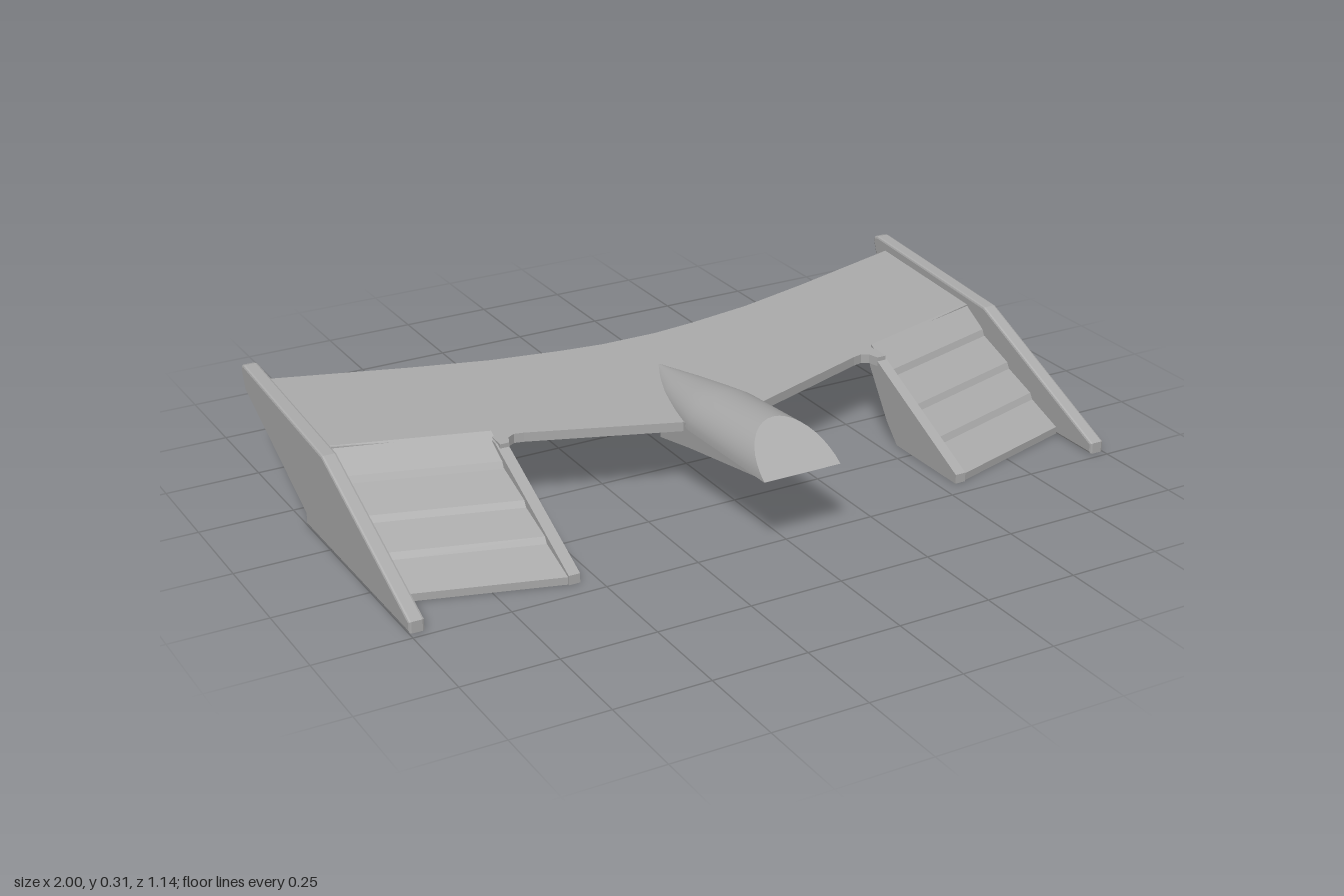
import * as THREE from 'three';

const gray = new THREE.MeshStandardMaterial({ color: 0xaaaaaa });
gray.name = 'gray';

const deckTop = (z) => 0.221 - 0.065 * z;
const SWEEP = 0.3;

// Extrudes a (z, y) profile along x between xa and xb, optionally swept forward toward the middle
function prism(pts, xa, xb, { sweep = 0, bevel = 0 } = {}) {
  const lo = Math.min(xa, xb), hi = Math.max(xa, xb);
  const shape = new THREE.Shape(pts.map(([z, y]) => new THREE.Vector2(z, y)));
  const g = new THREE.ExtrudeGeometry(shape, {
    depth: hi - lo - 2 * bevel, bevelEnabled: bevel > 0, bevelSegments: 2,
    bevelSize: bevel, bevelThickness: bevel, bevelOffset: -bevel,
  });
  g.rotateY(-Math.PI / 2).translate(hi - bevel, 0, 0);
  const p = g.attributes.position;
  for (let i = 0; i < p.count; i++) p.setZ(i, p.getZ(i) + (0.96 - Math.abs(p.getX(i))) * sweep);
  g.computeVertexNormals();
  return g;
}

function surface(positions, index) {
  const g = new THREE.BufferGeometry();
  g.setAttribute('position', new THREE.Float32BufferAttribute(positions, 3));
  g.setIndex(index);
  g.computeVertexNormals();
  return g;
}

export function createModel() {
  const model = new THREE.Group();
  model.name = 'rearWing';
  const add = (name, geometry, parent = model) => {
    const m = new THREE.Mesh(geometry, gray);
    m.name = name;
    parent.add(m);
    return m;
  };

  // Main deck: curved trailing edge, swept leading edge, gentle slope
  const half = [
    [0.09, 0.175], [0.49, 0.045], [0.515, 0.04], [0.535, 0.05], [0.545, 0.075], [0.57, 0.075], [0.57, 0.017],
    [0.97, -0.1], [0.97, -0.513], [0.6, -0.41], [0.39, -0.358], [0.2, -0.328], [0.08, -0.315],
  ];
  const outline = [...half, ...half.map(([x, z]) => [-x, z]).reverse()];
  const deck = new THREE.ExtrudeGeometry(
    new THREE.Shape(outline.map(([x, z]) => new THREE.Vector2(x, -z))),
    { depth: 0.025, bevelEnabled: false });
  deck.rotateX(-Math.PI / 2);
  const dp = deck.attributes.position;
  for (let i = 0; i < dp.count; i++) dp.setY(i, dp.getY(i) - 0.025 + deckTop(dp.getZ(i)));
  deck.computeVertexNormals();
  add('deck', deck);

  // Cross rib under the deck
  add('crossRib', prism([[-0.155, 0.15], [-0.13, 0.15], [-0.13, 0.22], [-0.155, 0.22]], -0.965, 0.965));

  const plate = [[0.48, 0], [0.48, 0.03], [-0.02, 0.245], [-0.555, 0.284], [-0.57, 0.28],
    [-0.574, 0.265], [-0.555, 0.215], [-0.16, 0.03], [-0.16, 0]];
  const fin = [[0.45, 0], [0.45, 0.025], [0.06, 0.212], [0.04, 0.215], [0.04, 0.18], [0.13, 0.05], [0.18, 0]];
  const steps = [[-0.02, 0.18], [0.1, 0.125], [0.21, 0.075], [0.33, 0.02]];

  for (const s of [1, -1]) {
    const side = new THREE.Group();
    side.name = s > 0 ? 'leftSide' : 'rightSide';
    model.add(side);
    add('endPlate', prism(plate, s * 0.96, s, { bevel: 0.006 }), side);
    add('innerFin', prism(fin, s * 0.545, s * 0.575), side);

    // Steep first panel, then stepped louvres with hanging lips
    add('shoulderPanel', prism(
      [[-0.105, 0.228], [-0.02, 0.18], [-0.01, 0.16], [-0.025, 0.16], [-0.105, 0.205]],
      s * 0.565, s * 0.965, { sweep: SWEEP }), side);
    for (let i = 0; i < 3; i++) {
      const [z0, y0] = steps[i], [z1, y1] = steps[i + 1];
      add('louvre', prism([
        [z0 + 0.01, y0 - 0.016], [z1, y1], [z1 + (i < 2 ? 0.012 : 0), y1 - 0.02],
        [z1 - 0.012, y1 - 0.02], [z1 - 0.014, y1 - 0.006], [z0 - 0.004, y0 - 0.028],
      ], s * 0.565, s * 0.965, { sweep: SWEEP }), side);
    }

    // Side walls of the spine's open channel
    add('spineWall', prism([[0.56, 0.212], [0.2, 0.15], [0.05, 0.12], [0.05, 0.21]],
      s * 0.072, s * 0.104), side);
  }

  // Arched spine: [z, half width, base, top], front section cut at a slant
  const sections = [
    [0.57, 0.108, 0.21, 0.305], [0.2, 0.108, 0.2, 0.283], [0.1, 0.092, 0.2, 0.267],
    [0, 0.07, 0.2, 0.251], [-0.08, 0.045, 0.2, 0.239], [-0.15, 0.012, 0.2, 0.23],
  ];
  const n = 20, pos = [], skin = [], floor = [], cap = [];
  sections.forEach(([z, w, base, top], r) => {
    for (let i = 0; i <= n; i++) {
      const a = (i / n) * Math.PI, rise = Math.sin(a);
      pos.push(w * Math.cos(a), base + (top - base) * rise, r === 0 ? z - 0.14 * rise : z);
      const k = r * (n + 1) + i;
      if (r === 0 && i > 0 && i < n) cap.push(0, i, i + 1);
      if (r < sections.length - 1 && i < n) skin.push(k, k + n + 1, k + 1, k + 1, k + n + 1, k + n + 2);
    }
    const k = r * (n + 1);
    if (r < sections.length - 1) floor.push(k, k + n, k + n + 1, k + n, k + 2 * n + 1, k + n + 1);
  });
  add('spine', surface(pos, skin));
  add('spineFrontFace', surface(pos, cap));
  add('spineUnderside', surface(pos, floor));

  return model;
}
